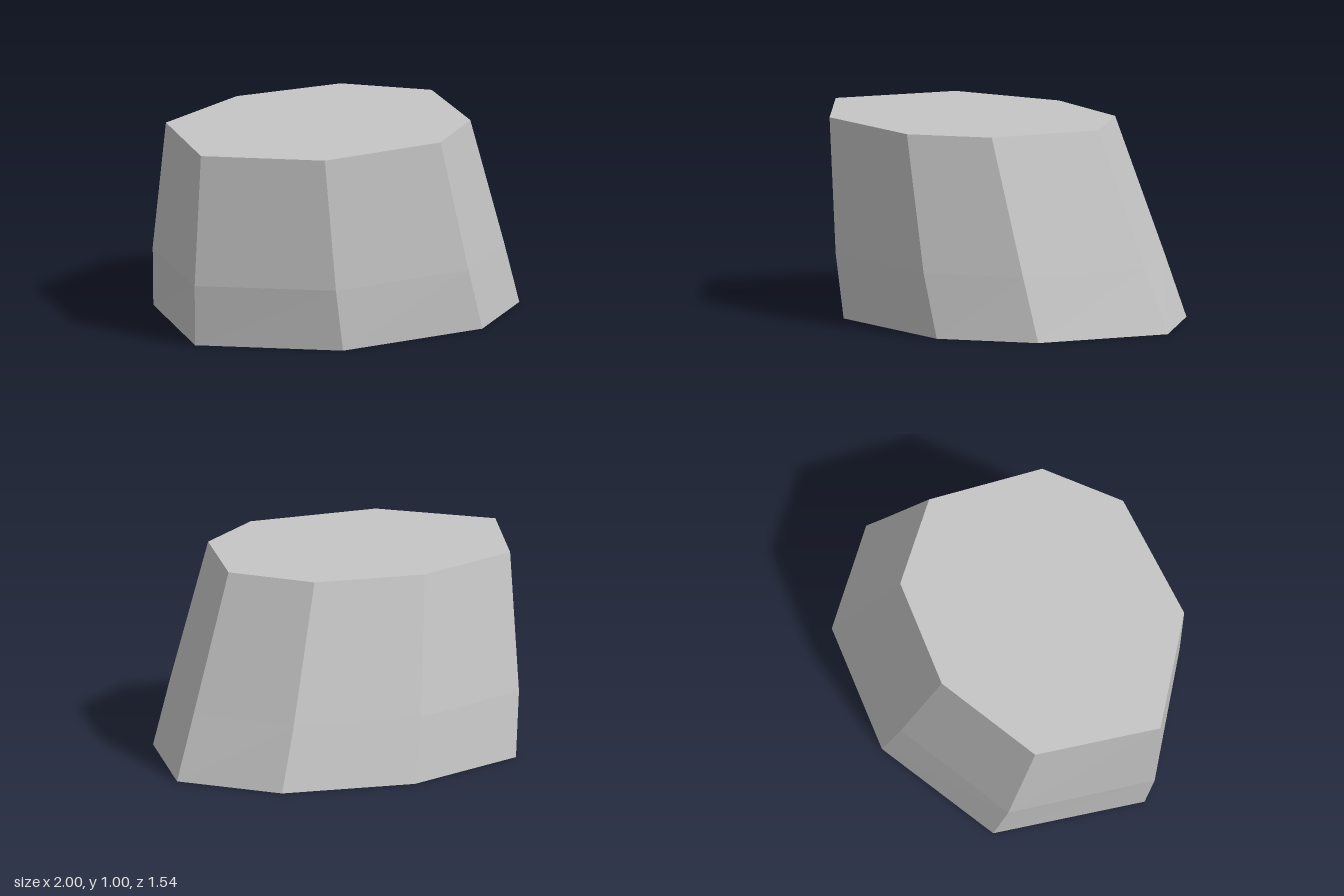
import * as THREE from 'three';

// Eight-sided cross-sections, [x, z] from the model's right round the front
const sections = [
  { y: 0, ring: [[-0.97, 0.2], [-0.42, 0.7], [0.38, 0.76], [0.81, 0.46], [1, -0.22], [0.625, -0.65], [-0.05, -0.77], [-0.72, -0.53]] },
  { y: 0.32, ring: [[-1, 0.24], [-0.47, 0.71], [0.29, 0.77], [0.71, 0.475], [0.885, -0.17], [0.53, -0.585], [-0.115, -0.7], [-0.765, -0.47]] },
  { y: 1, ring: [[-0.99, 0.28], [-0.53, 0.7], [0.135, 0.75], [0.49, 0.495], [0.645, -0.07], [0.34, -0.425], [-0.22, -0.525], [-0.785, -0.325]] },
];

function loft(levels) {
  const n = levels[0].ring.length;
  const positions = [];
  const point = (level, i) => {
    const [x, z] = levels[level].ring[i % n];
    return [x, levels[level].y, z];
  };
  const triangle = (a, b, c) => positions.push(...a, ...b, ...c);
  const last = levels.length - 1;

  // Sloping sides
  for (let k = 0; k < last; k++) {
    for (let i = 0; i < n; i++) {
      triangle(point(k, i), point(k, i + 1), point(k + 1, i + 1));
      triangle(point(k, i), point(k + 1, i + 1), point(k + 1, i));
    }
  }
  // Flat top and base
  for (let i = 1; i < n - 1; i++) {
    triangle(point(last, 0), point(last, i), point(last, i + 1));
    triangle(point(0, 0), point(0, i + 1), point(0, i));
  }

  const geometry = new THREE.BufferGeometry();
  geometry.setAttribute('position', new THREE.Float32BufferAttribute(positions, 3));
  geometry.computeVertexNormals();
  return geometry;
}

export function createModel() {
  const stone = new THREE.MeshStandardMaterial({ color: 0xc5c5c5 });
  stone.name = 'stone grey';
  stone.flatShading = true;

  const rock = new THREE.Mesh(loft(sections), stone);
  rock.name = 'rock';

  const model = new THREE.Group();
  model.name = 'flatToppedRock';
  model.add(rock);
  return model;
}
